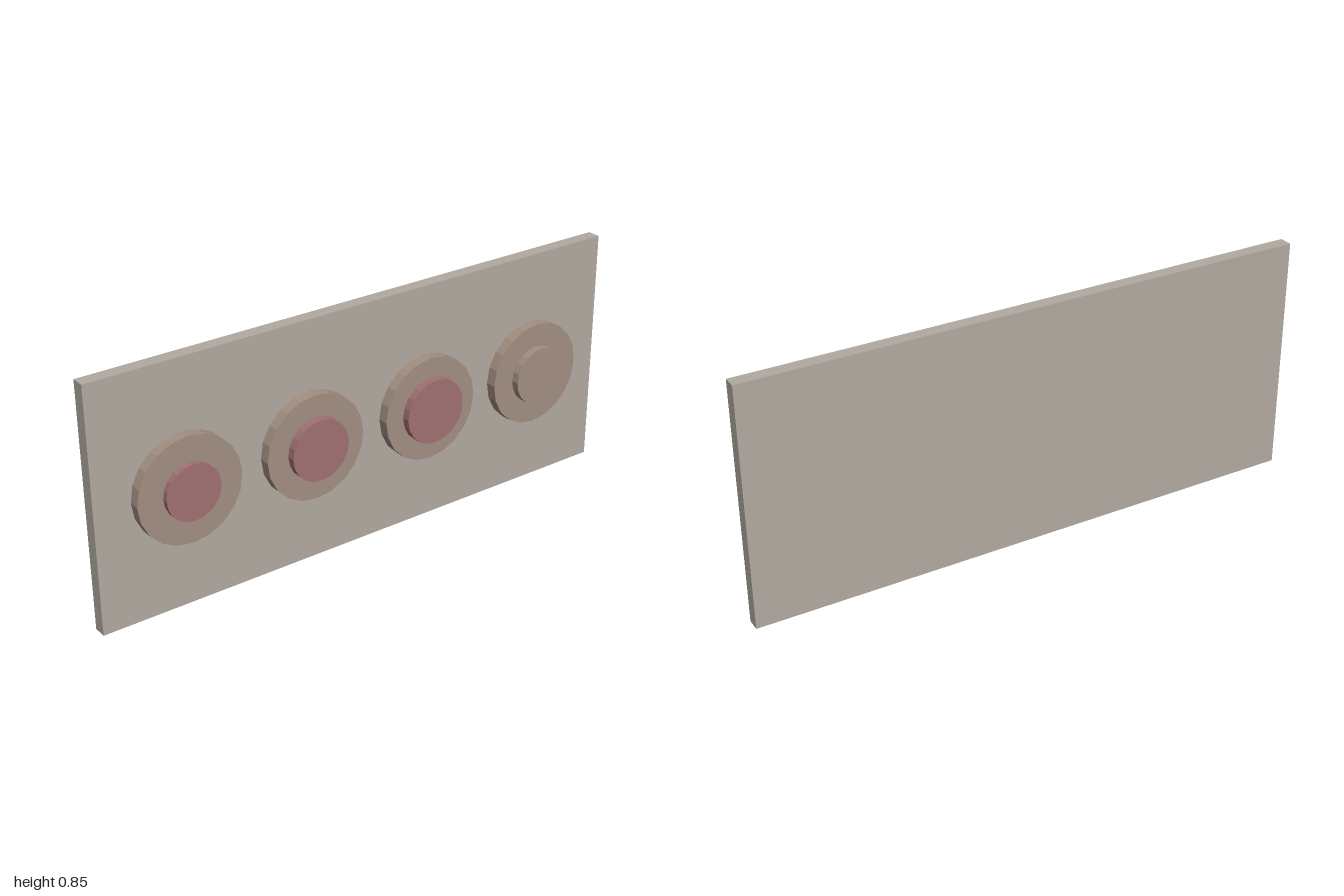
import * as THREE from 'three';

const SIDES = 20;
const CENTRE_Y = 0.424;

// Flat-sided disc facing +z, spanning z0 to z1
function disc(name, radius, x, z0, z1, material) {
  const geometry = new THREE.CylinderGeometry(radius, radius, z1 - z0, SIDES).toNonIndexed();
  geometry.computeVertexNormals();
  geometry.rotateX(Math.PI / 2);
  const mesh = new THREE.Mesh(geometry, material);
  mesh.name = name;
  mesh.position.set(x, CENTRE_Y, (z0 + z1) / 2);
  return mesh;
}

export function createModel() {
  const panelGrey = new THREE.MeshStandardMaterial({ color: 0xb1aaa0 });
  panelGrey.name = 'panelGrey';
  const tan = new THREE.MeshStandardMaterial({ color: 0xa38f81 });
  tan.name = 'tan';
  const rose = new THREE.MeshStandardMaterial({ color: 0xa07172 });
  rose.name = 'rose';

  const model = new THREE.Group();
  model.name = 'discPanel';

  // Backing panel
  const panel = new THREE.Mesh(new THREE.BoxGeometry(2, 0.847, 0.047), panelGrey);
  panel.name = 'backPanel';
  panel.position.set(0, 0.4235, -0.0345);
  model.add(panel);

  // Four base discs, each with a smaller raised centre
  const centres = [
    { x: -0.692, radius: 0.096, front: 0.052, material: rose },
    { x: -0.231, radius: 0.107, front: 0.059, material: rose },
    { x: 0.231, radius: 0.115, front: 0.059, material: rose },
    { x: 0.692, radius: 0.103, front: 0.059, material: tan },
  ];
  centres.forEach(({ x, radius, front, material }, i) => {
    const unit = new THREE.Group();
    unit.name = `discUnit${i + 1}`;
    unit.add(disc('baseDisc', 0.184, x, -0.007, 0.031, tan));
    unit.add(disc('raisedCentre', radius, x, 0.031, front, material));
    model.add(unit);
  });

  return model;
}
